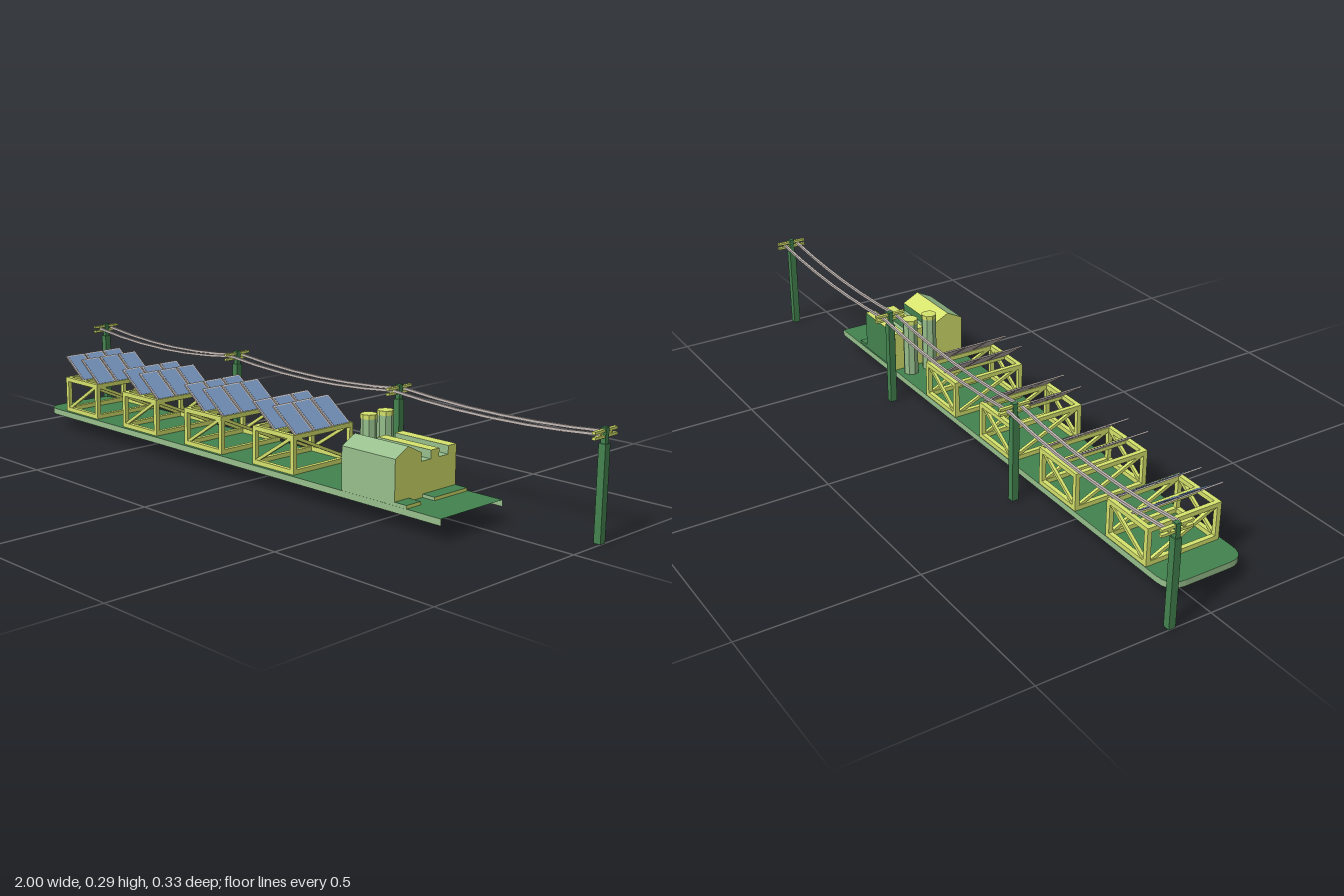
import * as THREE from 'three';

const mat = (name, color, side = THREE.FrontSide) => {
  const m = new THREE.MeshStandardMaterial({ color, side });
  m.name = name;
  return m;
};

export function createModel() {
  const green = mat('deep green', 0x43834f);
  const sage = mat('sage green', 0x97bf8c);
  const yellow = mat('yellow green', 0xd6e36d);
  const blue = mat('panel blue', 0x7190b6);
  const grey = mat('pale metal grey', 0xc4bab6);
  const greenSheet = mat('deep green sheet', 0x43834f, THREE.DoubleSide);
  const sageSheet = mat('sage green sheet', 0x97bf8c, THREE.DoubleSide);
  const palette = [green, sage, yellow];
  const [GREEN, SAGE, YELLOW] = [0, 1, 2];

  const root = new THREE.Group();
  root.name = 'solarPlant';

  const add = (parent, name, geo, material, x = 0, y = 0, z = 0) => {
    const mesh = new THREE.Mesh(geo, material);
    mesh.name = name;
    mesh.position.set(x, y, z);
    parent.add(mesh);
    return mesh;
  };
  const box = (parent, name, w, h, d, material, x, y, z) =>
    add(parent, name, new THREE.BoxGeometry(w, h, d), material, x, y, z);

  // Square beam between two points, oriented within its parent
  const forward = new THREE.Vector3(0, 0, 1);
  const beam = (parent, name, a, b, t, material) => {
    const from = new THREE.Vector3(...a), to = new THREE.Vector3(...b);
    const mesh = box(parent, name, t, t, from.distanceTo(to), material, 0, 0, 0);
    mesh.position.copy(from).add(to).multiplyScalar(0.5);
    const dir = to.sub(from).normalize();
    if (Math.abs(dir.x) > 0.01) mesh.rotation.set(0, Math.PI / 2, Math.atan2(dir.y, dir.x), 'ZYX');
    else mesh.quaternion.setFromUnitVectors(forward, dir);
  };

  // Give each triangle a palette colour from its normal and centre
  const paint = (source, pick) => {
    const geo = source.index ? source.toNonIndexed() : source;
    geo.clearGroups();
    const p = geo.attributes.position;
    const tri = new THREE.Triangle(), n = new THREE.Vector3(), c = new THREE.Vector3();
    for (let i = 0; i < p.count; i += 3) {
      tri.setFromAttributeAndIndices(p, i, i + 1, i + 2);
      geo.addGroup(i, 3, pick(tri.getNormal(n), tri.getMidpoint(c)));
    }
    return geo;
  };

  // Base: a thin deck with a skirt that is open at the +x end
  const r = 0.05, x0 = -0.93, x1 = 0.727, lo = -0.1635, hi = 0.073, deckY = 0.061, skirtY = 0.043;
  const outline = new THREE.Shape();
  outline.moveTo(x1, hi);
  outline.lineTo(x0 + r, hi);
  outline.quadraticCurveTo(x0, hi, x0, hi - r);
  outline.lineTo(x0, lo + r);
  outline.quadraticCurveTo(x0, lo, x0 + r, lo);
  outline.lineTo(x1, lo);
  add(root, 'deck', new THREE.ShapeGeometry(outline, 5).rotateX(-Math.PI / 2), greenSheet, 0, deckY, 0);
  const rimPoints = outline.getPoints(5);
  const skirt = [];
  for (let i = 0; i + 1 < rimPoints.length; i++) {
    const a = rimPoints[i], b = rimPoints[i + 1];
    skirt.push(
      a.x, skirtY, -a.y, b.x, deckY, -b.y, a.x, deckY, -a.y,
      a.x, skirtY, -a.y, b.x, skirtY, -b.y, b.x, deckY, -b.y);
  }
  const skirtGeo = new THREE.BufferGeometry();
  skirtGeo.setAttribute('position', new THREE.Float32BufferAttribute(skirt, 3));
  skirtGeo.computeVertexNormals();
  add(root, 'skirt', skirtGeo, sageSheet);

  // Control building: roof profile swept along x
  const profile = [
    [0.163, 0.055], [0.163, 0.18], [0.115, 0.205], [0.065, 0.18], [0.065, 0.157],
    [0.03, 0.157], [0.03, 0.18], [-0.002, 0.18], [-0.002, 0.157], [-0.037, 0.157],
    [-0.037, 0.18], [-0.069, 0.18], [-0.069, 0.055],
  ].map(([z, y]) => new THREE.Vector2(-z, y));
  const hall = new THREE.ExtrudeGeometry(new THREE.Shape(profile), { depth: 0.185, bevelEnabled: false });
  hall.rotateY(Math.PI / 2).translate(0.39, 0, 0);
  add(root, 'building', paint(hall, (n, c) => {
    if (Math.abs(n.x) > 0.5) return YELLOW;
    if (n.y > 0.5) return n.z > 0.2 || c.y < 0.16 ? SAGE : YELLOW;
    return n.z > 0.5 ? SAGE : GREEN;
  }), palette);

  // Low steps beside the building
  for (const [z0, z1] of [[-0.069, 0.058], [0.11, 0.163]]) {
    const step = paint(new THREE.BoxGeometry(0.04, 0.015, z1 - z0),
      n => (Math.abs(n.x) > 0.5 ? YELLOW : n.z > 0.5 ? SAGE : GREEN));
    add(root, 'step', step, palette, 0.595, 0.0625, (z0 + z1) / 2);
  }

  // Faceted tanks
  const faceted = (name, radius, h, material, x, y, z) => {
    const geo = new THREE.CylinderGeometry(radius, radius, h, 8).toNonIndexed();
    geo.computeVertexNormals();
    add(root, name, geo, material, x, y, z);
  };
  for (const z of [0.029, -0.035]) {
    faceted('tank', 0.0222, 0.165, sage, 0.357, 0.1435, z);
    faceted('tankCap', 0.0228, 0.0125, yellow, 0.357, 0.2313, z);
  }

  // Solar arrays: open timber stand with six tilted panels
  const halfX = 0.075, halfZ = 0.107, yLow = 0.068, yHigh = 0.164, t = 0.013;
  const makeArray = x => {
    const g = new THREE.Group();
    g.name = 'solarArray';
    g.position.set(x, 0, 0.0415);
    root.add(g);
    for (const y of [yLow, yHigh]) {
      for (const s of [-1, 1]) {
        box(g, 'longRail', halfX * 2 + t, t, t, yellow, 0, y, s * halfZ);
        box(g, 'crossRail', t, t, halfZ * 2, yellow, s * halfX, y, 0);
      }
    }
    box(g, 'middleRail', t, t, halfZ * 2, yellow, 0, yHigh, 0);
    for (const s of [-1, 1]) {
      for (const q of [-1, 1]) {
        box(g, 'post', t, yHigh - yLow, t, yellow, s * halfX, (yLow + yHigh) / 2, q * halfZ);
      }
      beam(g, 'sideBrace', [-halfX, yLow, s * halfZ], [halfX, yHigh, s * halfZ], 0.009, yellow);
      beam(g, 'endBrace', [s * halfX, yLow, -halfZ], [s * halfX, yHigh, halfZ], 0.009, yellow);
    }
    // Panels slope down towards +x
    for (const px of [-0.0455, 0.0355]) {
      for (const pz of [-0.071, 0, 0.071]) {
        const panel = new THREE.Group();
        panel.name = 'solarPanel';
        panel.position.set(px, 0.2, pz);
        panel.rotation.z = -Math.atan2(0.068, 0.09);
        g.add(panel);
        box(panel, 'panelFrame', 0.112, 0.004, 0.067, grey, 0, 0, 0);
        box(panel, 'panelGlass', 0.102, 0.002, 0.057, blue, 0, 0.0018, 0);
      }
    }
  };
  for (let i = 0; i < 4; i++) makeArray(-0.7565 + i * 0.2925);

  // Power poles with two crossarms
  const poleX = [-0.99, -0.33, 0.33, 0.99], poleZ = -0.117, wireZ = [-0.096, -0.139];
  for (const x of poleX) {
    const g = new THREE.Group();
    g.name = 'powerPole';
    g.position.set(x, 0, poleZ);
    root.add(g);
    box(g, 'poleShaft', 0.02, 0.25, 0.02, green, 0, 0.125, 0);
    box(g, 'poleTop', 0.014, 0.04, 0.014, green, 0, 0.27, 0);
    for (const y of [0.268, 0.282]) box(g, 'crossarm', 0.01, 0.007, 0.092, yellow, 0, y, 0);
    for (const z of wireZ) box(g, 'insulator', 0.007, 0.008, 0.007, yellow, 0, 0.275, z - poleZ);
  }

  // Sagging wires of square section between neighbouring poles
  for (let i = 0; i < 3; i++) {
    const a = poleX[i], b = poleX[i + 1], sag = [0.022, 0.019, 0.016][i], steps = 6;
    const point = (k, z) => [a + (b - a) * k / steps, 0.275 - 4 * sag * (k / steps) * (1 - k / steps), z];
    for (const z of wireZ) {
      for (let k = 0; k < steps; k++) beam(root, 'wire', point(k, z), point(k + 1, z), 0.007, grey);
    }
  }
  return root;
}
